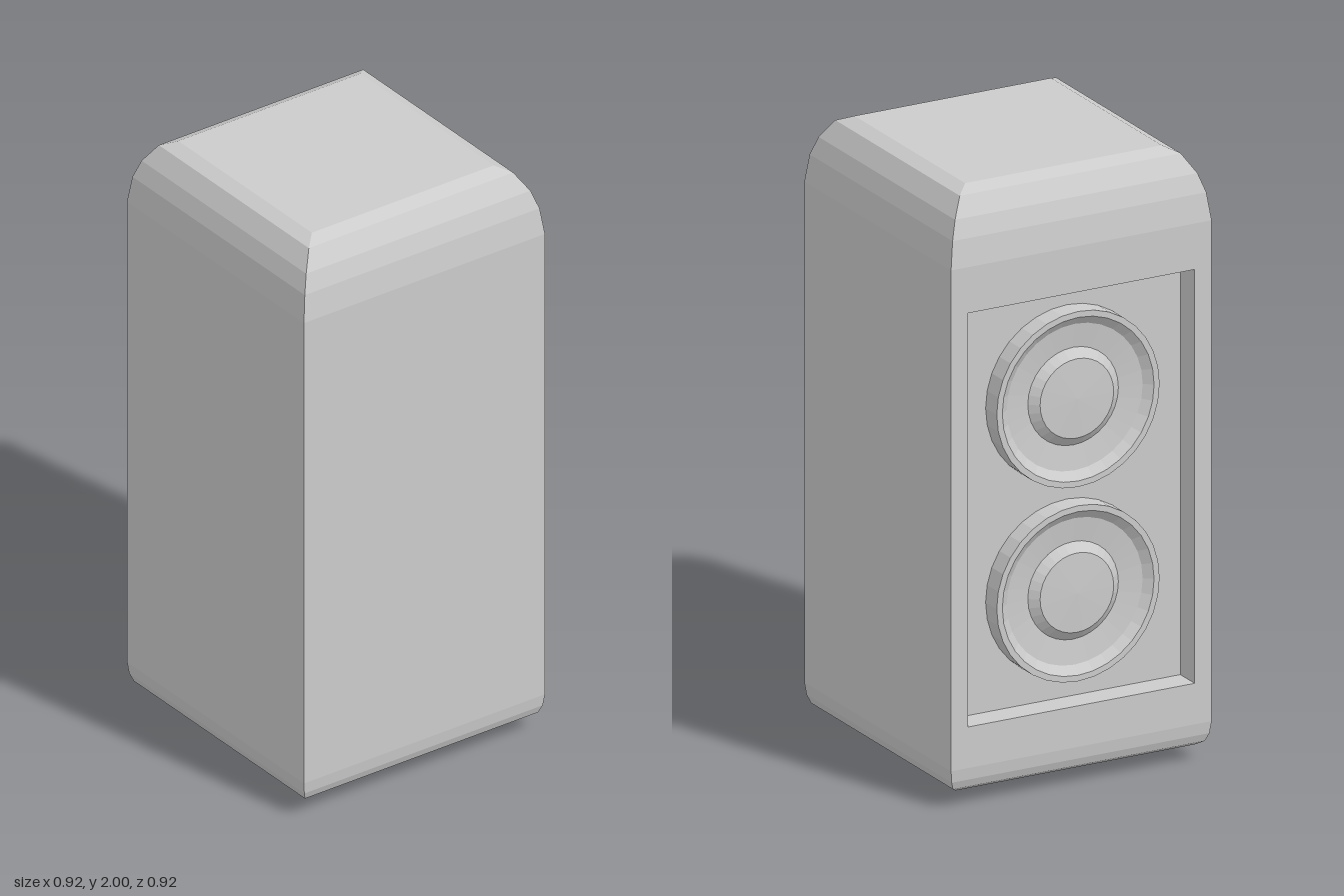
import * as THREE from 'three';

const HALF = 0.46;                 // half width of the square cabinet
const LOW = 0.13, HIGH = 1.77;     // straight part of the walls
const MID = 0.942;                 // centre height of the recess
const RECESS = { w: 0.8, h: 1.355, d: 0.09 };

const material = new THREE.MeshStandardMaterial({ color: 0xcccccc, flatShading: true });
const insideMaterial = new THREE.MeshStandardMaterial({
  color: 0xcccccc, flatShading: true, side: THREE.BackSide,
});

function add(parent, name, geometry, mat = material) {
  const mesh = new THREE.Mesh(geometry, mat);
  mesh.name = name;
  parent.add(mesh);
  return mesh;
}

// Square sections stacked along y: each point is [half width, height]
function squareLoft(points, sides = 4) {
  const profile = points.map(([r, y]) => new THREE.Vector2(r * Math.SQRT2, y));
  return new THREE.LatheGeometry(profile, sides, -Math.PI / 4, sides * Math.PI / 2);
}

function rectangle(target, w, y0, y1) {
  target.moveTo(-w, y0);
  target.lineTo(w, y0);
  target.lineTo(w, y1);
  target.lineTo(-w, y1);
  target.closePath();
  return target;
}

function createSpeaker() {
  // Rim, shallow cone and raised dust cap
  const profile = [
    [0.2875, 0], [0.2875, 0.07], [0.268, 0.07], [0.24, 0.048],
    [0.16, 0.038], [0.13, 0.062], [0, 0.066],
  ].map(([r, y]) => new THREE.Vector2(r, y));
  return new THREE.LatheGeometry(profile, 32).rotateZ(Math.PI / 2);
}

export function createModel() {
  const model = new THREE.Group();
  model.name = 'speakerCabinet';

  // Shallow pyramid base with a small rounded edge
  add(model, 'base', squareLoft([
    [0, 0], [0.425, 0.05], [0.445, 0.064], [0.455, 0.09], [HALF, LOW],
  ]));

  // Three plain walls
  add(model, 'walls', squareLoft([[HALF, LOW], [HALF, HIGH]], 3));

  // Rounded shoulders and flat top
  add(model, 'top', squareLoft([
    [HALF, HIGH], [0.448, 1.86], [0.428, 1.92], [0.39, 1.98], [0.347, 2], [0, 2],
  ]));

  // Fourth wall with the rectangular opening
  const wall = rectangle(new THREE.Shape(), HALF, LOW, HIGH);
  wall.holes.push(rectangle(new THREE.Path(), RECESS.w / 2,
    MID - RECESS.h / 2, MID + RECESS.h / 2));
  add(model, 'speakerWall', new THREE.ShapeGeometry(wall).rotateY(-Math.PI / 2))
    .position.x = -HALF;

  // Recess: inside of a box without its outer face
  const box = new THREE.BoxGeometry(RECESS.d, RECESS.h, RECESS.w);
  box.setIndex(Array.from(box.index.array).filter((_, i) => i < 6 || i >= 12));
  add(model, 'recess', box, insideMaterial)
    .position.set(-HALF + RECESS.d / 2, MID, 0);

  // Two speakers, one above the other
  const speaker = createSpeaker();
  for (const [name, side] of [['lowerSpeaker', -1], ['upperSpeaker', 1]]) {
    add(model, name, speaker).position.set(-HALF + RECESS.d, MID + side * 0.318, 0);
  }

  return model;
}
